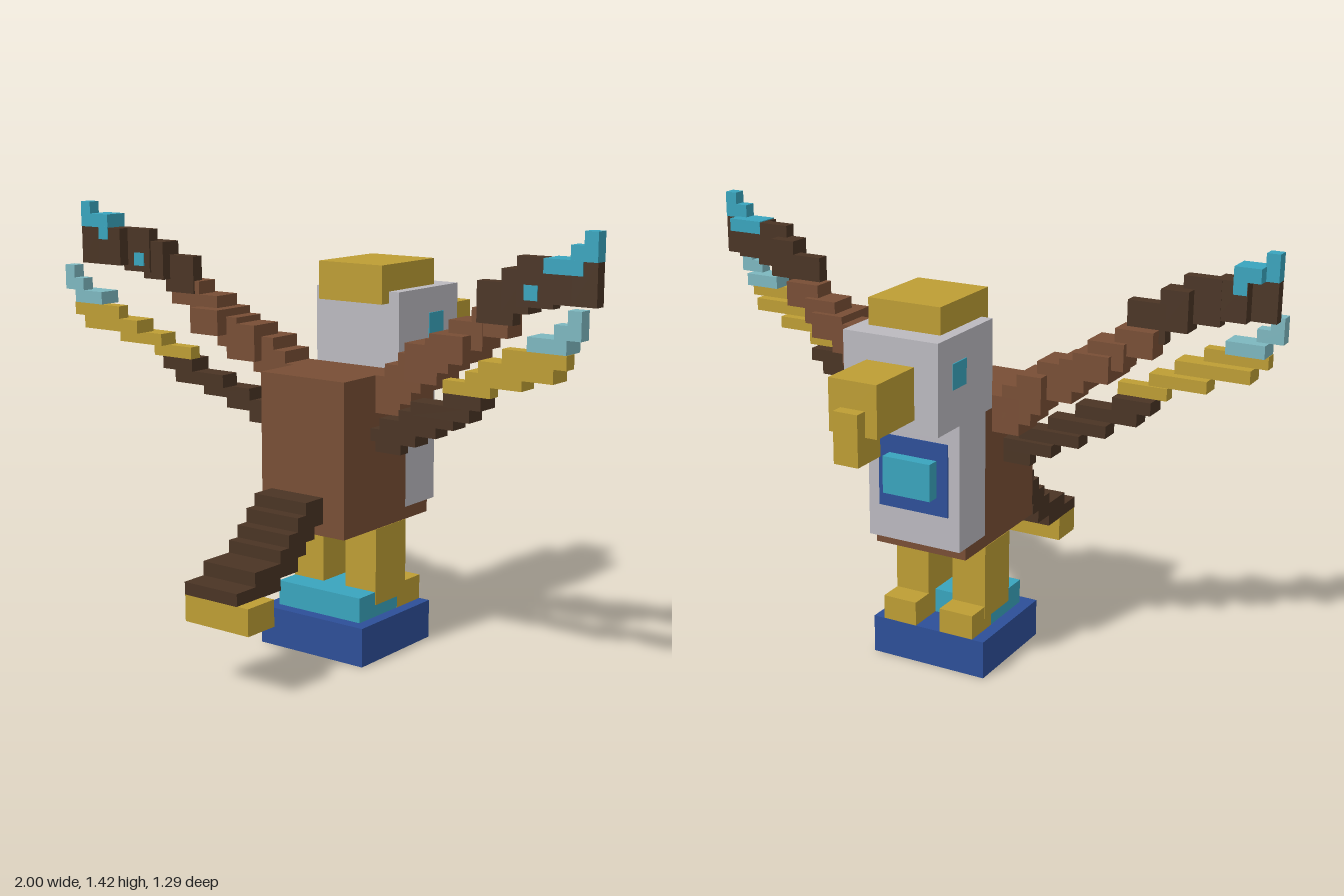
import * as THREE from 'three';

const colours = {
  brown: 0x784e35, darkBrown: 0x4a3424, gold: 0xbd9d34, teal: 0x39a4bd,
  paleTeal: 0x7db7bf, blue: 0x2d4f98, grey: 0xbbb9bf,
};

export function createModel() {
  const model = new THREE.Group();
  model.name = 'blockBird';
  const mats = {};
  for (const [name, color] of Object.entries(colours)) {
    mats[name] = new THREE.MeshStandardMaterial({ color });
    mats[name].name = name;
  }

  // Box from its minimum and maximum on each axis
  function box(parent, name, mat, x0, x1, y0, y1, z0, z1) {
    const mesh = new THREE.Mesh(new THREE.BoxGeometry(Math.abs(x1 - x0), y1 - y0, z1 - z0), mats[mat]);
    mesh.position.set((x0 + x1) / 2, (y0 + y1) / 2, (z0 + z1) / 2);
    mesh.name = name;
    parent.add(mesh);
  }
  function group(name) {
    const g = new THREE.Group();
    g.name = name;
    model.add(g);
    return g;
  }

  // Stand
  const stand = group('stand');
  box(stand, 'base', 'blue', -0.208, 0.205, 0, 0.128, -0.187, 0.188);
  box(stand, 'standTop', 'teal', -0.165, 0.165, 0.128, 0.21, -0.058, 0.147);

  // Body and chest
  const body = group('body');
  box(body, 'torso', 'brown', -0.165, 0.165, 0.42, 0.92, -0.06, 0.229);
  box(body, 'torsoFront', 'brown', -0.165, 0.165, 0.42, 0.878, -0.102, -0.06);
  box(body, 'belly', 'brown', -0.165, 0.165, 0.42, 0.46, -0.227, -0.102);
  box(body, 'chest', 'grey', -0.165, 0.165, 0.46, 0.88, -0.266, -0.102);
  box(body, 'chestPanel', 'blue', -0.125, 0.125, 0.57, 0.81, -0.27, -0.264);
  box(body, 'chestGem', 'teal', -0.085, 0.085, 0.63, 0.752, -0.312, -0.264);

  // Head
  const head = group('head');
  box(head, 'skull', 'grey', -0.165, 0.165, 0.878, 1.168, -0.395, -0.06);
  box(head, 'crest', 'gold', -0.126, 0.126, 1.13, 1.254, -0.313, -0.02);
  box(head, 'beak', 'gold', -0.083, 0.083, 0.92, 1.085, -0.602, -0.395);
  box(head, 'beakHook', 'gold', -0.042, 0.042, 0.838, 1.0, -0.643, -0.522);

  // Stepped tail: bottom, top, zMin, zMax
  const tail = group('tail');
  [
    [0.505, 0.545, 0.229, 0.315],
    [0.46, 0.505, 0.229, 0.355],
    [0.42, 0.46, 0.272, 0.398],
    [0.38, 0.42, 0.315, 0.44],
    [0.335, 0.38, 0.355, 0.56],
    [0.295, 0.335, 0.44, 0.645],
  ].forEach((t) => box(tail, 'tailStep', 'darkBrown', -0.126, 0.082, ...t));
  box(tail, 'tailTip', 'gold', -0.126, 0.124, 0.21, 0.296, 0.523, 0.644);

  // Wing steps: colour, x from, x to, y from, y to, z from, z to
  const upperWing = [
    ['brown', 0.16, 0.26, 0.80, 0.92, -0.06, 0.065],
    ['brown', 0.20, 0.30, 0.84, 0.96, -0.06, 0.065],
    ['brown', 0.25, 0.335, 0.88, 1.0, -0.06, 0.065],
    ['brown', 0.30, 0.42, 0.92, 1.04, -0.02, 0.102],
    ['brown', 0.375, 0.46, 0.96, 1.06, -0.02, 0.102],
    ['brown', 0.42, 0.54, 1.0, 1.085, -0.02, 0.147],
    ['brown', 0.46, 0.58, 1.04, 1.125, 0.0, 0.102],
    ['brown', 0.54, 0.665, 1.085, 1.168, 0.02, 0.1],
    ['darkBrown', 0.56, 0.685, 1.125, 1.25, 0.063, 0.106],
    ['darkBrown', 0.665, 0.755, 1.168, 1.295, 0.063, 0.14],
    ['darkBrown', 0.72, 0.84, 1.19, 1.335, 0.105, 0.147],
    ['darkBrown', 0.82, 0.92, 1.21, 1.335, 0.106, 0.185],
    ['darkBrown', 0.92, 1.0, 1.21, 1.335, 0.147, 0.185],
  ];
  const lowerWing = [
    ['darkBrown', 0.16, 0.26, 0.675, 0.715, 0.02, 0.063],
    ['darkBrown', 0.16, 0.335, 0.715, 0.755, 0.02, 0.09],
    ['darkBrown', 0.21, 0.42, 0.755, 0.795, 0.04, 0.105],
    ['darkBrown', 0.30, 0.50, 0.795, 0.835, 0.063, 0.13],
    ['darkBrown', 0.375, 0.585, 0.835, 0.878, 0.105, 0.175],
    ['darkBrown', 0.50, 0.63, 0.878, 0.92, 0.105, 0.186],
    ['gold', 0.50, 0.665, 0.92, 0.96, 0.147, 0.19],
    ['gold', 0.60, 0.79, 0.96, 1.0, 0.155, 0.225],
    ['gold', 0.67, 0.915, 1.0, 1.043, 0.188, 0.266],
    ['gold', 0.75, 0.957, 1.043, 1.085, 0.225, 0.268],
    ['paleTeal', 0.83, 0.955, 1.085, 1.127, 0.19, 0.268],
    ['paleTeal', 0.915, 1.0, 1.127, 1.168, 0.225, 0.268],
    ['paleTeal', 0.957, 1.0, 1.168, 1.21, 0.225, 0.268],
  ];
  const tips = {
    1: [[0.915, 1.0, 1.335, 1.38, 0.145, 0.187], [0.957, 1.0, 1.38, 1.42, 0.145, 0.187],
      [0.83, 0.955, 1.295, 1.338, 0.104, 0.188]],
    '-1': [[0.957, 1.0, 1.335, 1.42, 0.145, 0.187], [0.875, 0.96, 1.335, 1.38, 0.104, 0.187],
      [0.875, 0.918, 1.295, 1.338, 0.104, 0.188]],
  };

  for (const s of [1, -1]) {
    const side = s > 0 ? 'left' : 'right';
    // Wing
    const wing = group(side + 'Wing');
    for (const [mat, a, b, ...rest] of upperWing) box(wing, 'upperFeather', mat, s * a, s * b, ...rest);
    for (const [mat, a, b, ...rest] of lowerWing) box(wing, 'lowerFeather', mat, s * a, s * b, ...rest);
    for (const [a, b, ...rest] of tips[s]) box(wing, 'featherTip', 'teal', s * a, s * b, ...rest);
    box(wing, 'featherSpot', 'teal', s * 0.745, s * 0.79, 1.21, 1.254, 0.144, 0.15);
    // Leg and foot
    const leg = group(side + 'Leg');
    box(leg, 'shin', 'gold', s * 0.045, s * 0.167, 0.167, 0.42, -0.102, 0.063);
    box(leg, 'foot', 'gold', s * 0.045, s * 0.166, 0.128, 0.21, -0.186, -0.058);
    // Eye
    box(head, side + 'Eye', 'teal', s * 0.162, s * 0.168, 1.003, 1.085, -0.31, -0.228);
  }
  return model;
}
